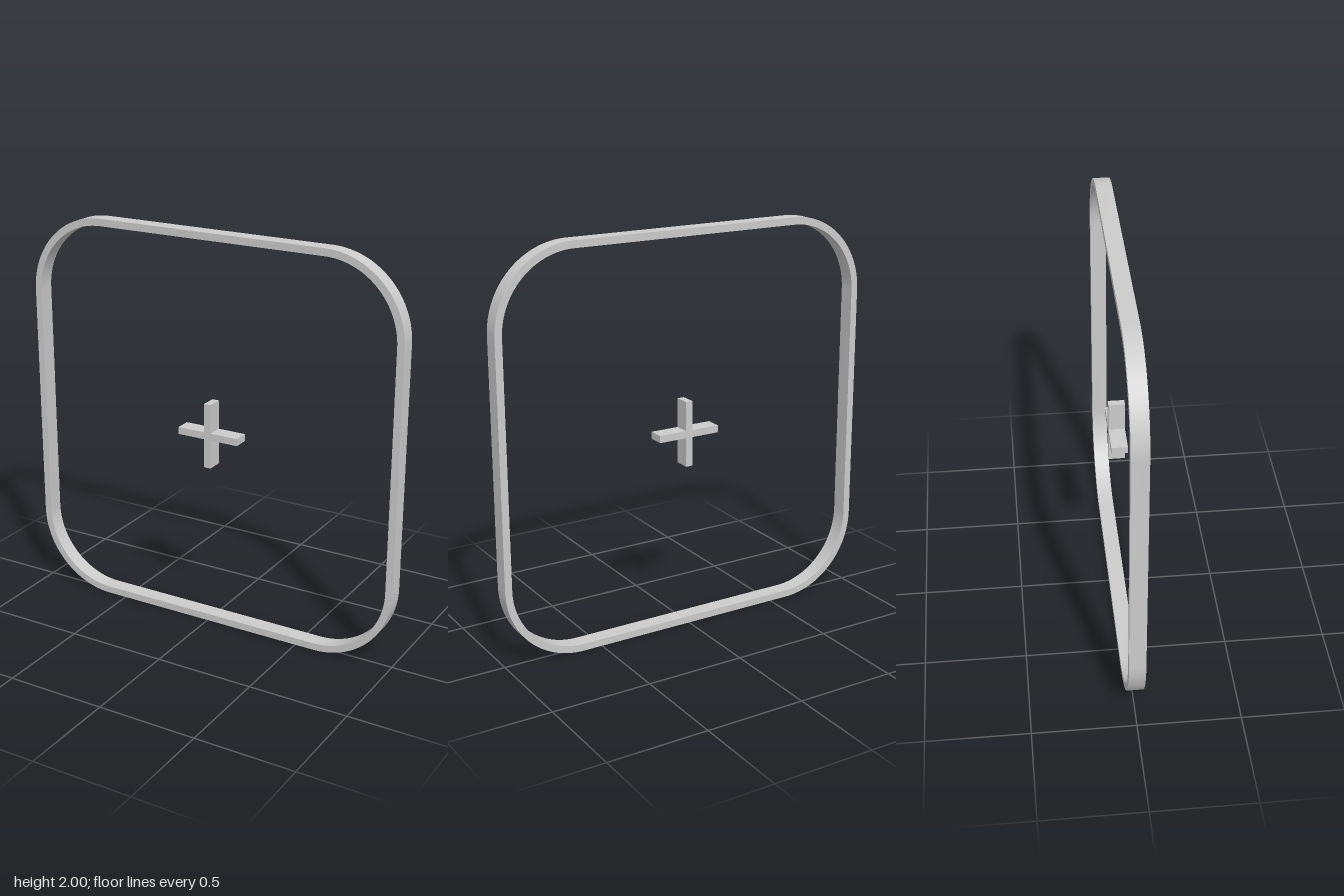
import * as THREE from 'three';
import { toCreasedNormals } from 'three/addons/utils/BufferGeometryUtils.js';

const DEPTH = 0.08;
const BAR = 0.036;

// Rounded square outline centred on the origin
function roundedSquare(target, half, radius) {
  const c = half - radius;
  target.moveTo(c, -half);
  target.absarc(c, -c, radius, -Math.PI / 2, 0);
  target.absarc(c, c, radius, 0, Math.PI / 2);
  target.absarc(-c, c, radius, Math.PI / 2, Math.PI);
  target.absarc(-c, -c, radius, Math.PI, Math.PI * 1.5);
  target.closePath();
  return target;
}

// Plus-shaped outline: one notched corner turned through four quarters
function plusShape(half, w) {
  const points = [];
  for (let i = 0; i < 4; i++) {
    for (const [x, y] of [[half, -w], [half, w], [w, w]]) {
      points.push(new THREE.Vector2(x, y).rotateAround(new THREE.Vector2(), i * Math.PI / 2));
    }
  }
  return new THREE.Shape(points);
}

export function createModel() {
  const group = new THREE.Group();
  const material = new THREE.MeshStandardMaterial({ color: 0xcccccc });

  function addExtruded(name, shape) {
    const geometry = new THREE.ExtrudeGeometry(shape, {
      depth: DEPTH, bevelEnabled: false, curveSegments: 24,
    });
    geometry.translate(0, 1, -DEPTH / 2);
    const mesh = new THREE.Mesh(toCreasedNormals(geometry, Math.PI / 6), material);
    mesh.name = name;
    group.add(mesh);
  }

  // Outer frame with concentric rounded corners
  const frame = roundedSquare(new THREE.Shape(), 1, 0.4);
  frame.holes.push(roundedSquare(new THREE.Path(), 1 - BAR, 0.4 - BAR));
  addExtruded('frame', frame);

  // Small cross floating at the centre
  addExtruded('centreCross', plusShape(0.164, BAR / 2));

  return group;
}
